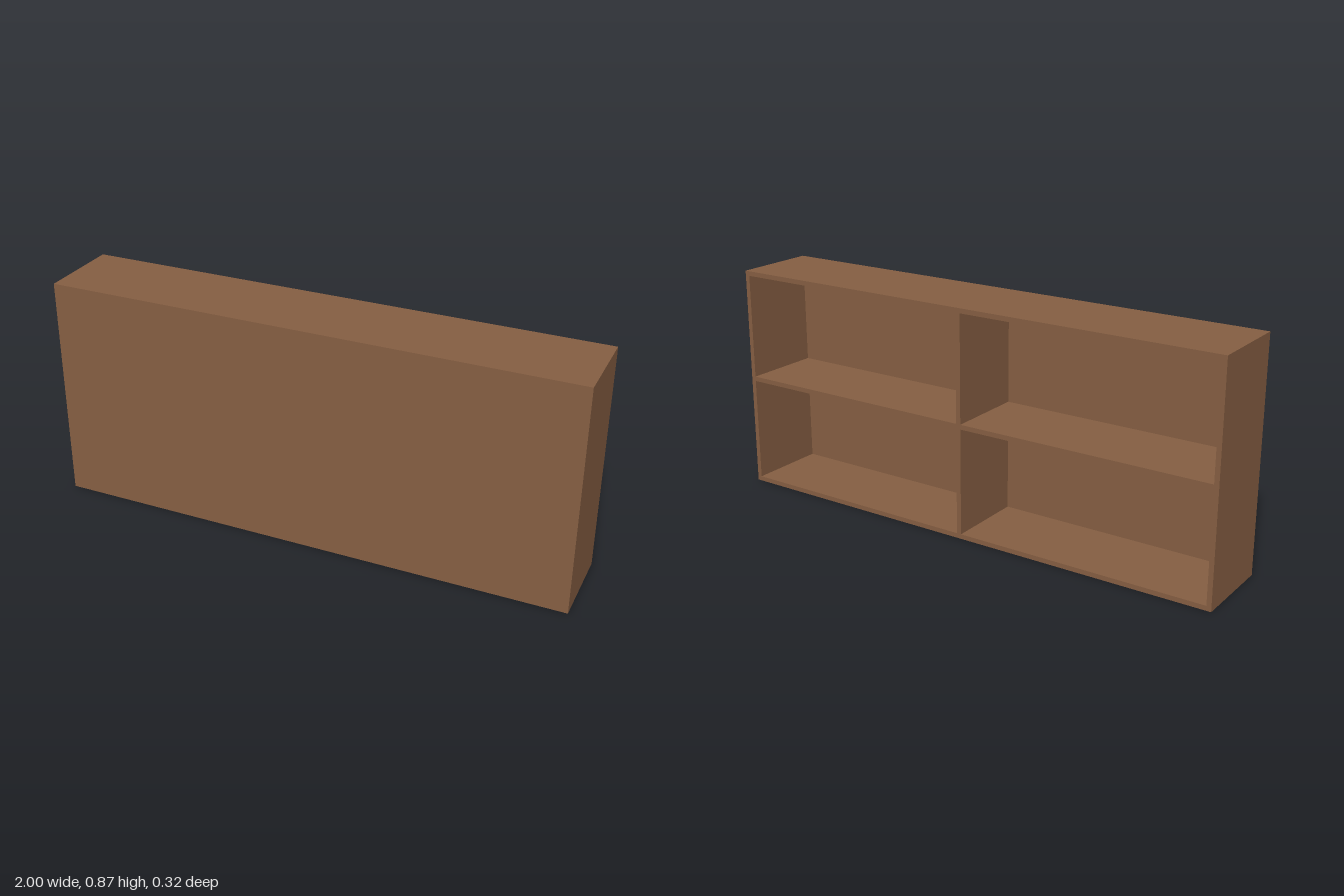
import * as THREE from 'three';

const W = 2, H = 0.865, D = 0.325; // overall size
const T = 0.018;                   // board thickness

export function createModel() {
  const group = new THREE.Group();
  group.name = 'shelfUnit';
  const wood = new THREE.MeshStandardMaterial({ color: 0x855e42 });

  const board = (name, w, h, d, x, y, z) => {
    const mesh = new THREE.Mesh(new THREE.BoxGeometry(w, h, d), wood);
    mesh.name = name;
    mesh.position.set(x, y, z);
    group.add(mesh);
  };

  // Solid front; all other boards run from it to the open back
  board('frontPanel', W, H, T, 0, H / 2, D / 2 - T / 2);
  const depth = D - T, z = -T / 2;

  // Outer frame
  board('topPanel', W, T, depth, 0, H - T / 2, z);
  board('bottomPanel', W, T, depth, 0, T / 2, z);
  const innerH = H - 2 * T;
  for (const [name, side] of [['leftPanel', 1], ['rightPanel', -1]]) {
    board(name, T, innerH, depth, side * (W - T) / 2, H / 2, z);
  }

  // Centre divider with a shelf on each side
  board('divider', T, innerH, depth, 0, H / 2, z);
  const shelfW = (W - 3 * T) / 2;
  for (const [name, side] of [['leftShelf', 1], ['rightShelf', -1]]) {
    board(name, shelfW, T, depth, side * (shelfW + T) / 2, H / 2, z);
  }

  return group;
}
